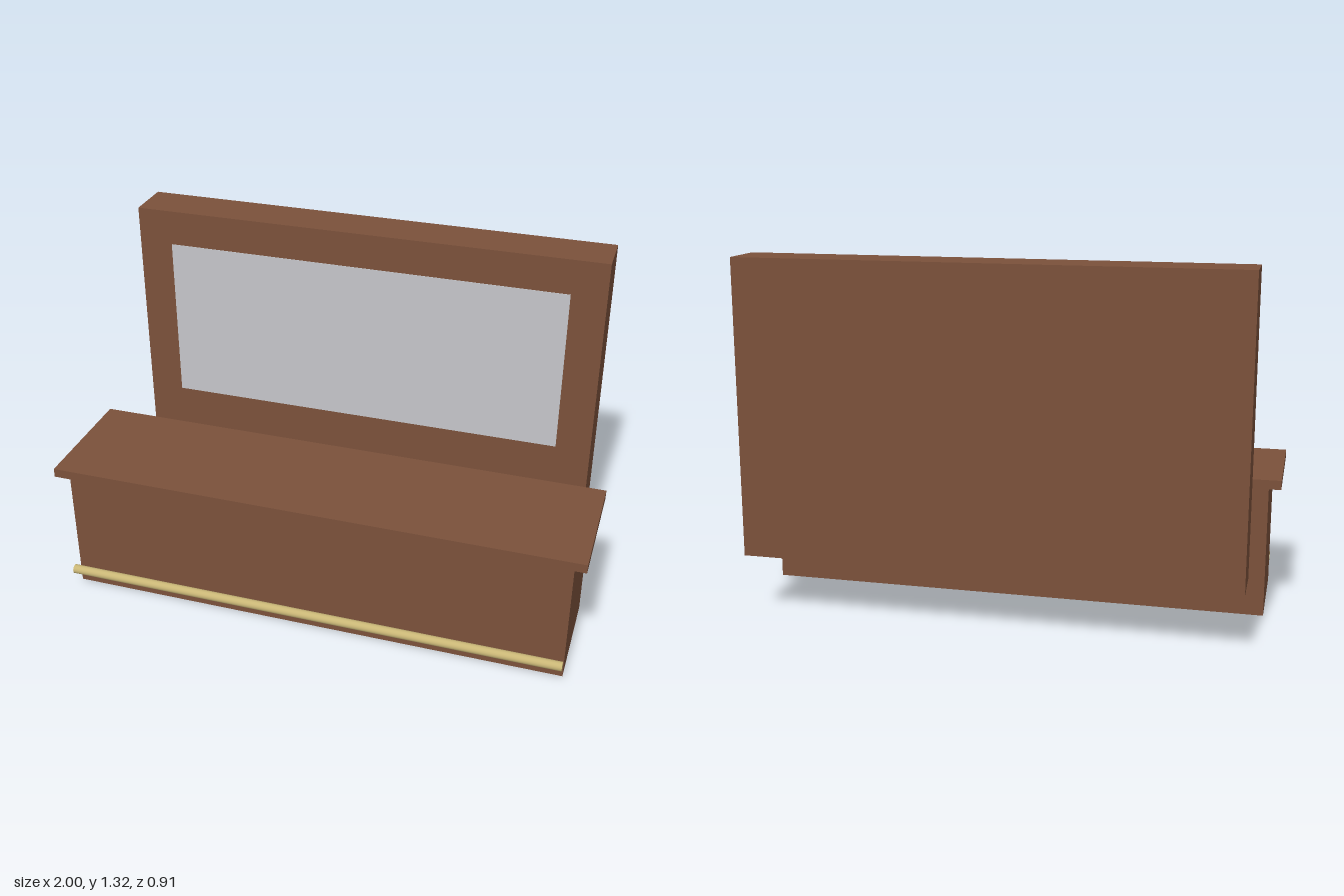
import * as THREE from 'three';

export function createModel() {
  const group = new THREE.Group();
  const material = (name, color) => {
    const m = new THREE.MeshStandardMaterial({ color });
    m.name = name;
    return m;
  };
  const wood = material('brown wood', 0x7b513b);
  const glass = material('pale grey mirror', 0xc5c6ca);
  const brass = material('brass', 0xc9b676);

  const add = (name, geometry, mat, x, y, z) => {
    const mesh = new THREE.Mesh(geometry, mat);
    mesh.name = name;
    mesh.position.set(x, y, z);
    group.add(mesh);
    return mesh;
  };
  // Box given by its width (centred on x) and its y and z ranges
  const slab = (name, mat, width, y0, y1, z0, z1) =>
    add(name, new THREE.BoxGeometry(width, y1 - y0, z1 - z0), mat, 0, (y0 + y1) / 2, (z0 + z1) / 2);

  // Bar counter with overhanging top
  slab('counterBody', wood, 1.91, 0, 0.495, -0.02, 0.39);
  slab('counterTop', wood, 2, 0.495, 0.529, -0.052, 0.422);

  // Foot rail in front of the counter
  const rail = new THREE.CylinderGeometry(0.0175, 0.0175, 1.91, 16);
  rail.rotateZ(Math.PI / 2);
  add('footRail', rail, brass, 0, 0.084, 0.436);

  // Raised back panel with a thin mirror on its face
  slab('backPanel', wood, 1.815, 0.23, 1.322, -0.453, -0.271);
  slab('mirror', glass, 1.552, 0.549, 1.187, -0.272, -0.269);

  return group;
}
